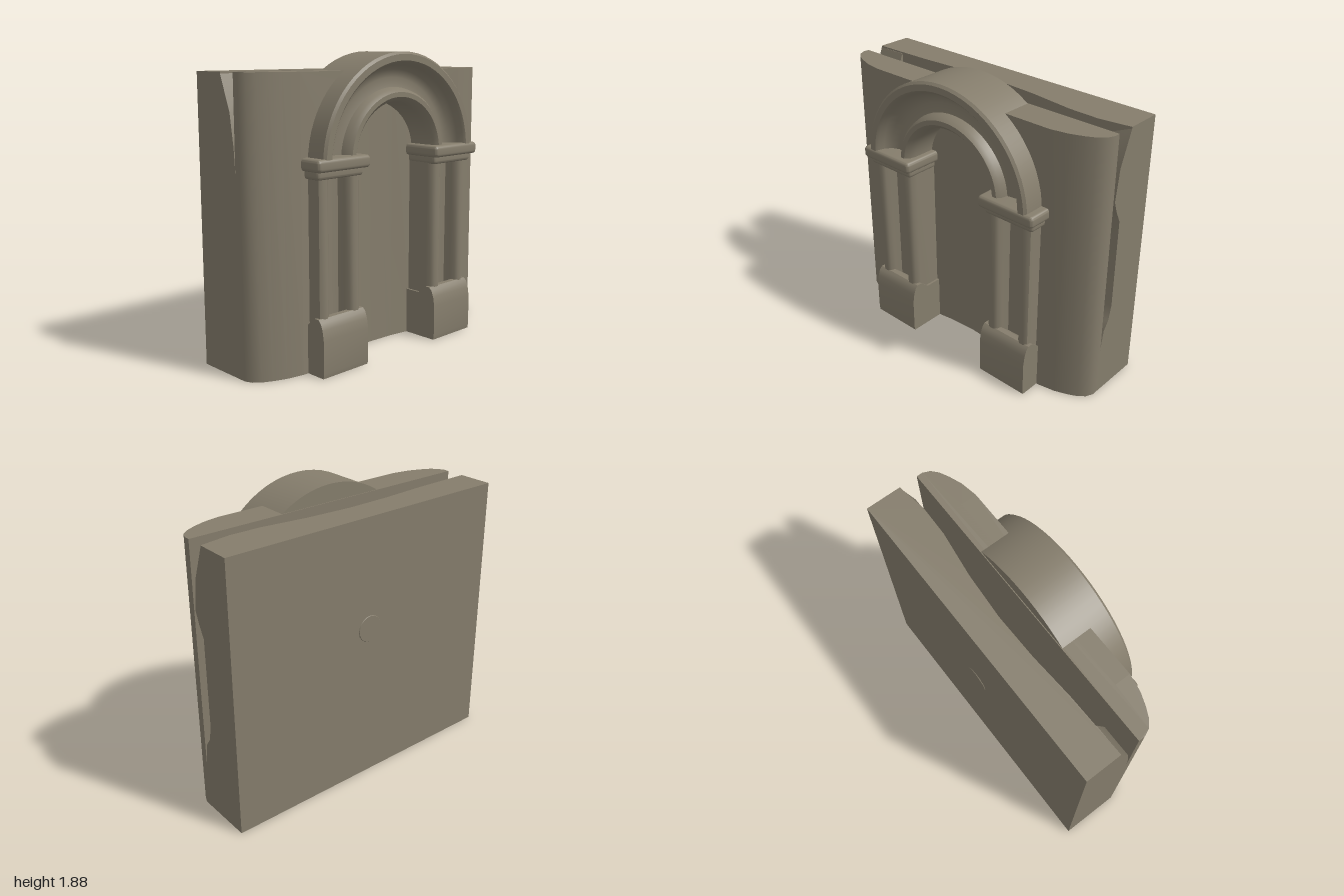
import * as THREE from 'three';
import { toCreasedNormals } from 'three/addons/utils/BufferGeometryUtils.js';
import { RoundedBoxGeometry } from 'three/addons/geometries/RoundedBoxGeometry.js';

const stone = new THREE.MeshStandardMaterial({ color: 0x857d6c });
stone.name = 'stone';

const toShape = (pts) => new THREE.Shape(pts.map(([a, b]) => new THREE.Vector2(a, b)));
const extrude = (shape, depth) =>
  new THREE.ExtrudeGeometry(shape, { depth, bevelEnabled: false, curveSegments: 20 });

// Plan outline of [x, z] points raised from y0 to y1
function plan(pts, y0, y1) {
  return extrude(toShape(pts.map(([x, z]) => [x, -z])), y1 - y0)
    .rotateX(-Math.PI / 2).translate(0, y0, 0);
}

// Side outline of [z, y] points stretched from x0 to x1
function side(pts, x0, x1) {
  return extrude(toShape(pts.map(([z, y]) => [-z, y])), x1 - x0)
    .rotateY(Math.PI / 2).translate(x0, 0, 0);
}

export function createModel() {
  const model = new THREE.Group();
  const add = (name, geometry, parent = model) => {
    const mesh = new THREE.Mesh(toCreasedNormals(geometry, 0.65), stone);
    mesh.name = name;
    parent.add(mesh);
    return mesh;
  };
  const H = 1.77;

  // Front wall with rounded flanks and a shallow hollow behind the arch
  const flank = [[1, 0], [1, 0.04], [0.98, 0.085], [0.94, 0.12], [0.88, 0.15],
    [0.8, 0.18], [0.69, 0.2], [0.69, 0.1], [0.36, 0.1], [0.18, 0.075]];
  const mirrored = flank.map(([x, z]) => [-x, z]).reverse();
  add('frontWall', plan([...flank, [0, 0.065], ...mirrored], 0, H));

  // Wall face around the doorway
  const face = toShape([[-0.69, 0], [-0.4, 0], [-0.4, 1.25]]);
  face.absarc(0.01, 1.25, 0.41, Math.PI, 0, true);
  face.lineTo(0.42, 0);
  face.lineTo(0.69, 0);
  face.lineTo(0.69, H);
  face.lineTo(-0.69, H);
  add('wallFace', extrude(face, 0.14).translate(0, 0, 0.06));

  // Rear block with a gently hollowed inner face
  add('rearBlock', plan([[-1, -0.35], [1, -0.35], [1, -0.12], [0.8, -0.09], [0.6, -0.095],
    [0.3, -0.135], [0, -0.155], [-0.3, -0.15], [-0.6, -0.13], [-1, -0.12]], 0, H));

  // Rough webs joining the two slabs at the ends
  const slope = [[0, 1.2], [-0.01, 1.35], [-0.04, 1.55], [-0.12, 1.76], [-0.16, 1.76], [-0.16, 0]];
  add('leftWeb', side([[0.02, 0], [0.02, 0.3], [0, 0.32], [-0.02, 0.46], [-0.06, 0.52],
    [-0.08, 0.62], [-0.08, 1.2], [-0.04, 1.28], [-0.015, 1.35], ...slope.slice(2)], 0.82, 1));
  add('rightWeb', side([[0.02, 0], [0.02, 1.2], ...slope], -1, -0.8));
  add('lowerWeb', plan([[-0.9, 0.01], [-0.42, 0.01], [-0.5, -0.07], [-0.66, -0.14], [-0.9, -0.14]], 0, 0.3));

  // Oval boss on the back
  const boss = new THREE.CylinderGeometry(0.085, 0.09, 0.008, 16)
    .rotateX(-Math.PI / 2).translate(0, 1.05, -0.35);
  add('backBoss', boss);

  // Moulded arch: raised rim, hollow and inner roll
  const arch = new THREE.Group();
  arch.name = 'arch';
  arch.position.x = 0.01;
  model.add(arch);
  const section = [[0.5, 0.005], [0.65, 0.005], [0.65, 0.33], [0.635, 0.345], [0.595, 0.345],
    [0.58, 0.33], [0.57, 0.29], [0.54, 0.25], [0.49, 0.23], [0.43, 0.24], [0.42, 0.28],
    [0.4, 0.305], [0.37, 0.305], [0.345, 0.28], [0.335, 0.24], [0.335, 0.06]]
    .map(([r, z]) => new THREE.Vector2(r, z));
  const ring = new THREE.LatheGeometry(section, 32, Math.PI / 2, Math.PI)
    .rotateX(Math.PI / 2).scale(1, 0.97, 1).translate(0, 1.25, 0);
  add('archMoulding', ring, arch);

  // Paired shafts, plinth and capital on each side
  const pier = [[0.32, 0.06], [0.32, 0.25], [0.33, 0.285], [0.35, 0.3], [0.385, 0.3],
    [0.405, 0.285], [0.415, 0.25], [0.43, 0.21], [0.49, 0.195], [0.55, 0.21], [0.565, 0.25],
    [0.575, 0.285], [0.595, 0.3], [0.625, 0.3], [0.645, 0.285], [0.65, 0.25], [0.65, 0.06]];
  const plinth = [[0.06, 0], [0.335, 0], [0.34, 0.03], [0.34, 0.23], [0.33, 0.29],
    [0.315, 0.33], [0.295, 0.35], [0.26, 0.35], [0.2, 0.3], [0.06, 0.3]];
  for (const s of [1, -1]) {
    const name = s > 0 ? 'left' : 'right';
    add(name + 'Shafts', plan(pier.map(([x, z]) => [x * s, z]), 0.28, 1.2), arch);
    const x0 = s > 0 ? 0.305 : -0.665;
    add(name + 'Plinth', side(plinth, x0, x0 + 0.36), arch);
    const cap = (w, h, front, y, r) =>
      new RoundedBoxGeometry(w, h, front - 0.06, 3, r).translate(s * 0.495, y, (front + 0.06) / 2);
    add(name + 'CapitalNeck', cap(0.36, 0.07, 0.315, 1.2, 0.02), arch);
    add(name + 'Capital', cap(0.41, 0.075, 0.352, 1.25, 0.022), arch);
  }
  return model;
}
